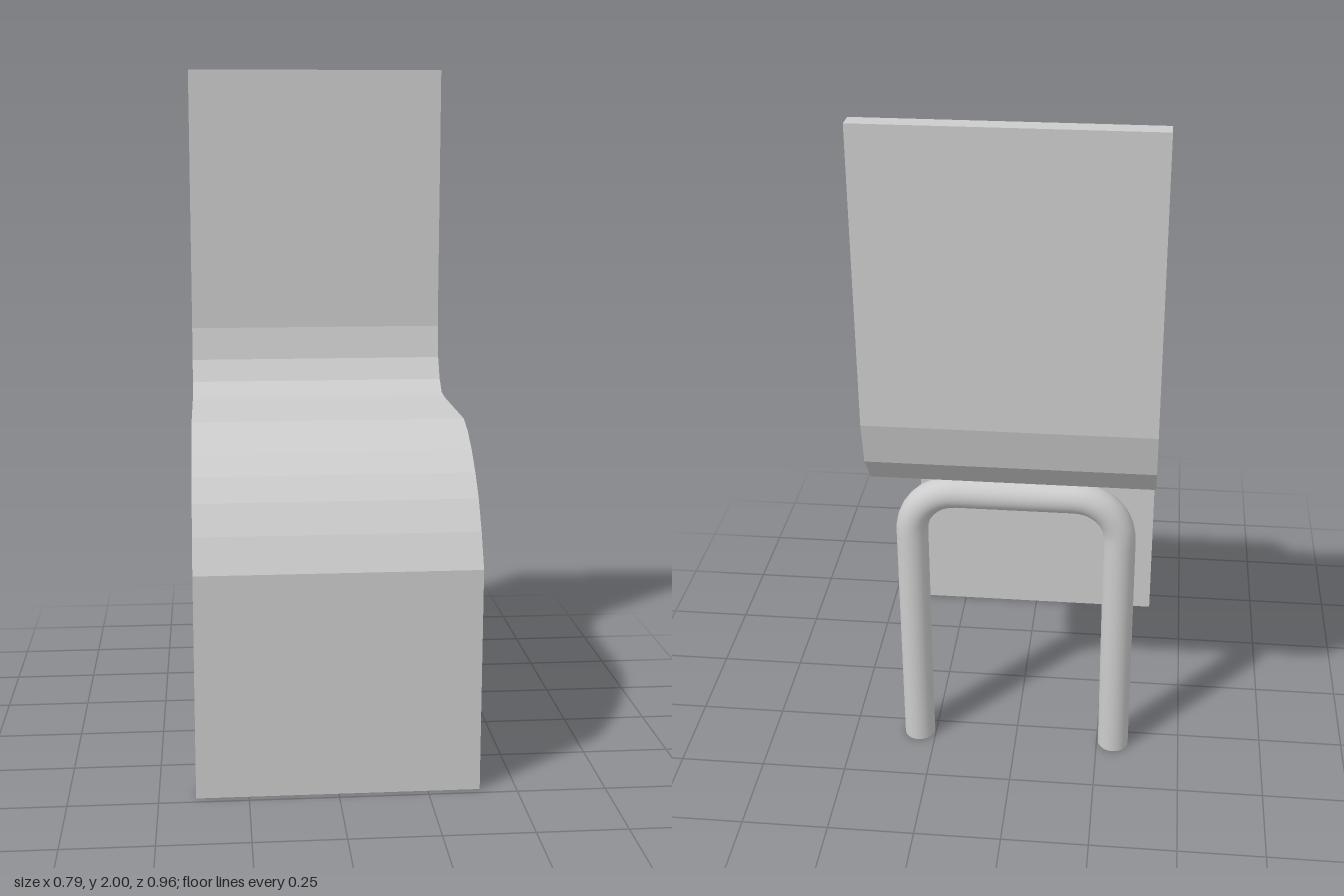
import * as THREE from 'three';

const HALF_WIDTH = 0.397;

// Side profile of the bent sheet as [z, y]: upper face front to back, then lower face back to front
const PROFILE = [
  [0.478, 0], [0.478, 0.64], [0.43, 0.735], [0.375, 0.815], [0.315, 0.875],
  [0.25, 0.925], [0.18, 0.965], [0.105, 0.988], [-0.265, 0.985], [-0.32, 0.99],
  [-0.368, 1.025], [-0.407, 1.09], [-0.425, 1.19], [-0.425, 2],
  [-0.478, 2], [-0.476, 1.17], [-0.45, 1.045], [-0.376, 0.955], [-0.29, 0.912],
  [-0.14, 0.914], [0.09, 0.918], [0.17, 0.9], [0.24, 0.862], [0.31, 0.8],
  [0.375, 0.715], [0.43, 0.61], [0.43, 0],
];

// Inverted U path with rounded corners for the rear legs
function legPath(x, top, bend, z) {
  const p = (a, b) => new THREE.Vector3(a, b, z);
  const k = bend * 0.4477; // control offset that makes a round corner
  const path = new THREE.CurvePath();
  path.add(new THREE.LineCurve3(p(-x, 0), p(-x, top - bend)));
  path.add(new THREE.CubicBezierCurve3(
    p(-x, top - bend), p(-x, top - k), p(-x + k, top), p(-x + bend, top)));
  path.add(new THREE.LineCurve3(p(-x + bend, top), p(x - bend, top)));
  path.add(new THREE.CubicBezierCurve3(
    p(x - bend, top), p(x - k, top), p(x, top - k), p(x, top - bend)));
  path.add(new THREE.LineCurve3(p(x, top - bend), p(x, 0)));
  return path;
}

export function createModel() {
  const chair = new THREE.Group();
  chair.name = 'chair';
  const grey = new THREE.MeshStandardMaterial({ color: 0xcccccc });
  grey.name = 'light grey';

  const add = (name, geometry) => {
    const mesh = new THREE.Mesh(geometry, grey);
    mesh.name = name;
    chair.add(mesh);
    return mesh;
  };

  // One bent sheet forms the front support, seat and backrest
  const shape = new THREE.Shape(PROFILE.map(([z, y]) => new THREE.Vector2(z, y)));
  const sheet = new THREE.ExtrudeGeometry(shape, { depth: HALF_WIDTH * 2, bevelEnabled: false });
  sheet.rotateY(-Math.PI / 2).translate(HALF_WIDTH, 0, 0);
  add('seatSheet', sheet);

  // Bent tube carrying the rear of the seat
  const legX = 0.3, legZ = -0.298, radius = 0.046;
  add('rearLegs', new THREE.TubeGeometry(legPath(legX, 0.872, 0.13, legZ), 80, radius, 24));

  // Closed feet of the tube
  for (const side of [-1, 1]) {
    const cap = add(side > 0 ? 'leftFoot' : 'rightFoot', new THREE.CircleGeometry(radius, 24));
    cap.rotation.x = Math.PI / 2;
    cap.position.set(side * legX, 0, legZ);
  }
  return chair;
}
